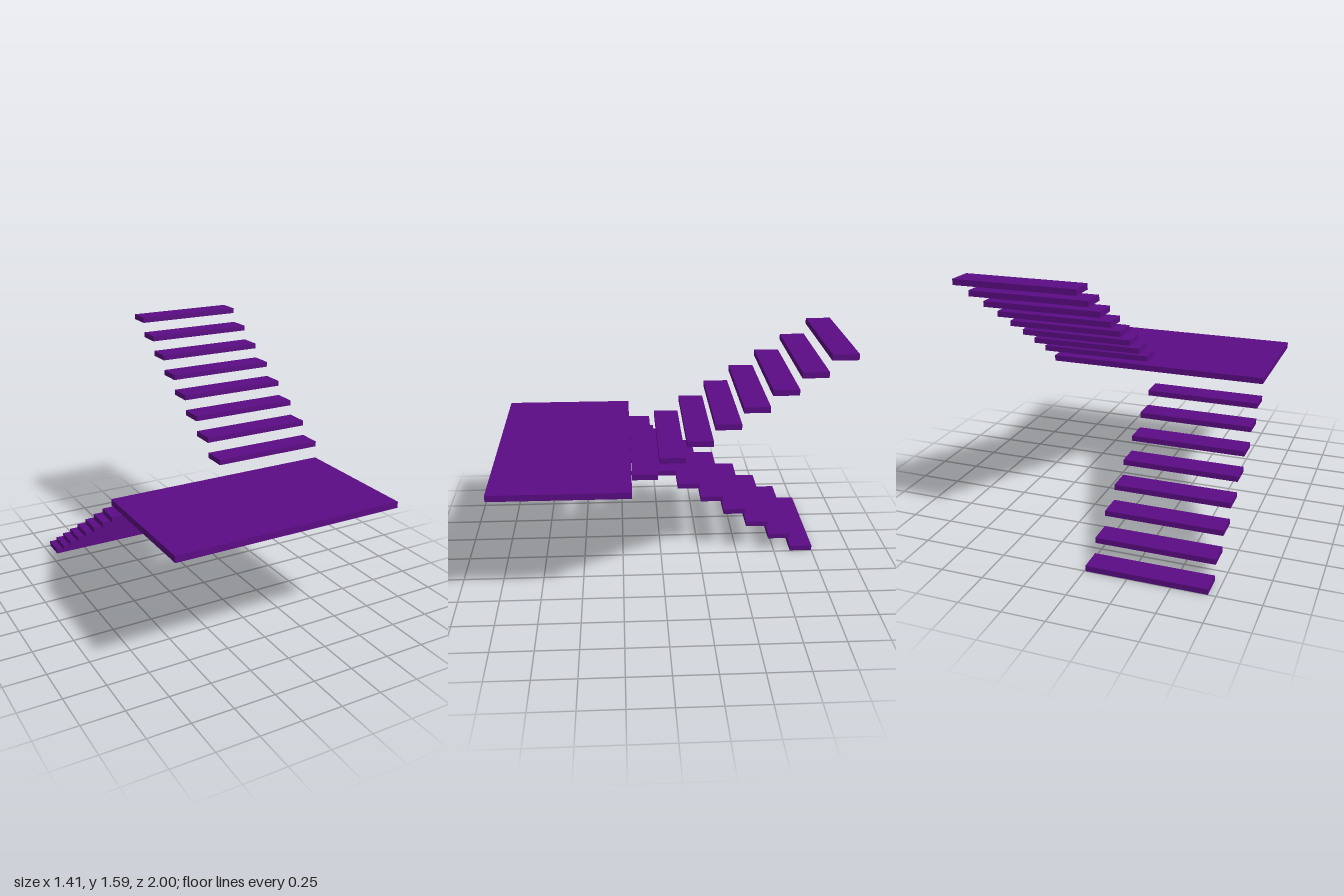
import * as THREE from 'three';

const STEPS = 8;
const HALF_WIDTH = 0.705;
const GAP = 0.005;             // half the slit between the two flights
const TREAD = { w: HALF_WIDTH - GAP, h: 0.033, d: 0.143 };
const RISE = 0.0953;
const RUN = 0.15;

export function createModel() {
  const model = new THREE.Group();
  model.name = 'floatingStaircase';
  const material = new THREE.MeshStandardMaterial({ color: 0x5c0c85 });
  const treadGeometry = new THREE.BoxGeometry(TREAD.w, TREAD.h, TREAD.d);

  // A flight of free-floating treads; zDir is the way it climbs along z
  function flight(name, side, firstY, firstZ, zDir) {
    const group = new THREE.Group();
    group.name = name;
    for (let i = 0; i < STEPS; i++) {
      const tread = new THREE.Mesh(treadGeometry, material);
      tread.name = `${name}Tread${i + 1}`;
      tread.position.set(side * (GAP + TREAD.w / 2), firstY + i * RISE, firstZ + zDir * i * RUN);
      group.add(tread);
    }
    model.add(group);
  }

  // Lower flight climbs forward to the landing, upper flight climbs back over it
  const backZ = -1 + TREAD.d / 2;
  flight('lowerFlight', -1, TREAD.h / 2, backZ, 1);
  flight('upperFlight', 1, 0.907, backZ + (STEPS - 1) * RUN, -1);

  // Landing slab spanning both flights
  const landingBack = 0.193;
  const landing = new THREE.Mesh(
    new THREE.BoxGeometry(HALF_WIDTH * 2, 0.038, 1 - landingBack), material);
  landing.name = 'landing';
  landing.position.set(0, 0.796, (1 + landingBack) / 2);
  model.add(landing);

  return model;
}
